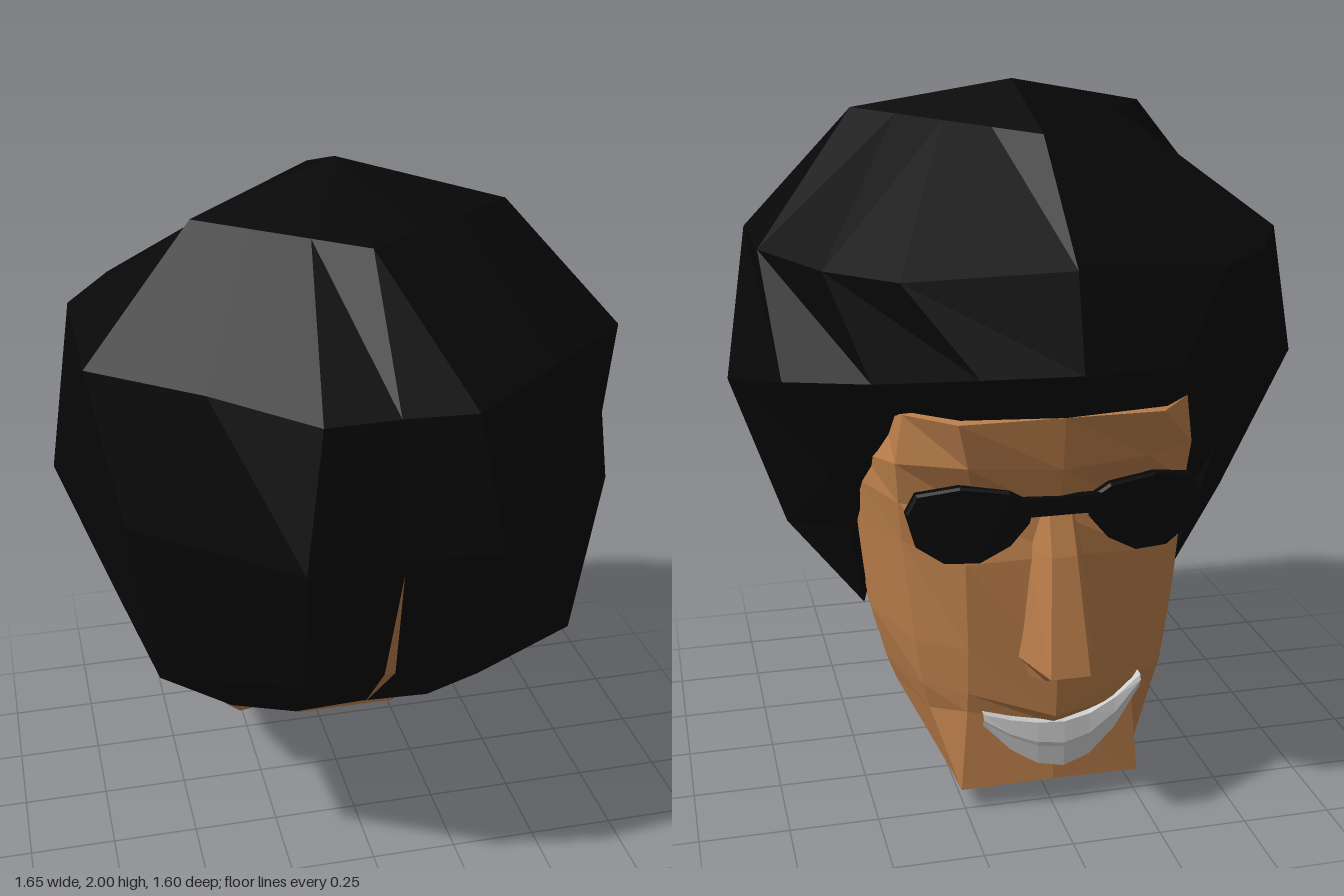
import * as THREE from 'three';

const material = (color) => new THREE.MeshStandardMaterial({ color, flatShading: true, side: THREE.DoubleSide });
const skin = material(0xb97d4a);
const black = material(0x070707);
const white = material(0xcccccc);

// Joins rings of points, listed from top to bottom, into one faceted skin
function loft(name, rings, mat, closed = true) {
  const pos = [];
  const same = (p, q) => p.every((v, k) => Math.abs(v - q[k]) < 1e-6);
  const tri = (a, b, c) => {
    if (!same(a, b) && !same(b, c) && !same(a, c)) pos.push(...a, ...b, ...c);
  };
  for (let i = 0; i < rings.length - 1; i++) {
    const r = rings[i], s = rings[i + 1], n = r.length;
    for (let j = 0; j < (closed ? n : n - 1); j++) {
      const k = (j + 1) % n;
      tri(r[j], r[k], s[j]);
      tri(r[k], s[k], s[j]);
    }
  }
  const geo = new THREE.BufferGeometry();
  geo.setAttribute('position', new THREE.Float32BufferAttribute(pos, 3));
  geo.computeVertexNormals();
  const mesh = new THREE.Mesh(geo, mat);
  mesh.name = name;
  return mesh;
}

// Completes a half ring (face centre, +x side, back centre) with its mirror image
const mirror = (half) => [...half, ...half.slice(1, -1).reverse().map(([x, y, z]) => [-x, y, z])];
const point = (p, n) => Array(n).fill(p);

function makeHair() {
  // four-cornered ring near the crown, its straight sides divided evenly
  const between = (a, b, t) => a.map((v, k) => v + (b[k] - v) * t);
  const front = [0, 1.89, -0.38], side = [0.43, 1.91, 0.17], back = [0, 1.88, 0.42];
  const crown = Array.from({ length: 8 }, (_, j) => (j < 4 ? between(front, side, j / 4) : between(side, back, (j - 4) / 3)));
  // upper ring, widest ring, hairline, and the underside tucked against the head
  const lower = [
    [[0, 1.6, -0.73], [0.43, 1.57, -0.63], [0.6, 1.57, -0.45], [0.74, 1.58, -0.18], [0.74, 1.56, 0.28], [0.46, 1.58, 0.56], [0.2, 1.54, 0.73], [0, 1.54, 0.72]],
    [[0, 1.35, -0.8], [0.26, 1.35, -0.78], [0.5, 1.3, -0.58], [0.71, 1.27, -0.4], [0.825, 1.17, 0.02], [0.67, 1.17, 0.44], [0.26, 1.17, 0.8], [0, 1.17, 0.77]],
    [[0, 1.19, -0.63], [0.28, 1.2, -0.62], [0.44, 1.19, -0.44], [0.57, 0.94, -0.23], [0.675, 0.73, 0], [0.6, 0.68, 0.42], [0.24, 0.75, 0.66], [0, 0.75, 0.63]],
    [[0, 1.19, -0.5], [0.28, 1.19, -0.48], [0.42, 1.15, -0.38], [0.51, 0.74, -0.13], [0.47, 0.5, -0.12], [0.38, 0.46, 0.28], [0.2, 0.45, 0.34], [0, 0.45, 0.33]],
    [[0, 1.19, -0.3], [0.2, 1.15, -0.3], [0.35, 1.1, -0.3], [0.44, 0.74, 0], [0.44, 0.5, 0.04], [0.36, 0.45, 0.1], [0.18, 0.41, 0.13], [0, 0.38, 0.13]],
  ];
  return loft('hair', [point([0, 2, -0.02], 8), crown, ...lower].map(mirror), black);
}

function makeHead() {
  // face centre, front corner, cheek and temple at each level
  const face = [
    [[0, 1.19, -0.63], [0.28, 1.18, -0.6], [0.4, 1.17, -0.44], [0.42, 1.12, -0.25]],
    [[0, 1.04, -0.61], [0.25, 1.05, -0.575], [0.42, 1.03, -0.43], [0.48, 1.0, -0.22]],
    [[0, 0.9, -0.57], [0.22, 0.9, -0.5], [0.41, 0.91, -0.41], [0.49, 0.92, -0.22]],
    [[0, 0.78, -0.57], [0.25, 0.76, -0.53], [0.4, 0.79, -0.39], [0.48, 0.79, -0.21]],
    [[0, 0.45, -0.57], [0.24, 0.5, -0.51], [0.37, 0.5, -0.41], [0.46, 0.52, -0.2]],
    [[0, 0.29, -0.555], [0.24, 0.36, -0.5], [0.35, 0.36, -0.41], [0.42, 0.36, -0.2]],
    [[0, 0.25, -0.52], [0.24, 0.3, -0.49], [0.33, 0.28, -0.4], [0.39, 0.28, -0.2]],
    [[0, 0.08, -0.53], [0.26, 0.06, -0.5], [0.27, 0.07, -0.4], [0.28, 0.1, -0.2]],
  ];
  // jaw corner and nape for the four lowest levels
  const nape = [
    [[0.46, 0.6, 0.02], [0.2, 0.55, 0.16], [0, 0.55, 0.16]],
    [[0.45, 0.5, 0.04], [0.16, 0.42, 0.135], [0, 0.42, 0.135]],
    [[0.43, 0.42, 0.04], [0.15, 0.35, 0.13], [0, 0.35, 0.13]],
    [[0.41, 0.34, 0.04], [0.15, 0.29, 0.12], [0, 0.29, 0.12]],
  ];
  const halves = face.map((front, i) => {
    const [x, y] = front[3];
    const back = i < 4 ? [[x, y, 0], [0.2, y, 0.3], [0, y, 0.3]] : nape[i - 4];
    return [...front, ...back];
  });
  const all = [point([0, 1.22, -0.48], 7), ...halves, point([0, 0, -0.39], 7)];
  return loft('head', all.map(mirror), skin);
}

function makeNose() {
  // each level: height, ridge half width, ridge z, base half width
  const levels = [[0.94, 0.03, -0.57, 0.05], [0.8, 0.035, -0.63, 0.08], [0.48, 0.055, -0.705, 0.11], [0.42, 0.04, -0.59, 0.09]];
  const rings = levels.map(([y, w, z, b]) => [[-b, y, -0.53], [-w, y, z], [w, y, z], [b, y, -0.53]]);
  rings.push(point([0, 0.42, -0.55], 4));
  return loft('nose', rings, skin);
}

function makeSunglasses() {
  const group = new THREE.Group();
  group.name = 'sunglasses';
  const outline = [[0.08, 0.94], [0.14, 0.975], [0.27, 0.99], [0.38, 0.97], [0.405, 0.92], [0.38, 0.83], [0.31, 0.785], [0.22, 0.785], [0.14, 0.83], [0.09, 0.89]];
  for (const side of [1, -1]) {
    const shape = new THREE.Shape(outline.map(([x, y]) => new THREE.Vector2(side * x, y)));
    const geo = new THREE.ExtrudeGeometry(shape, { depth: 0.02, bevelEnabled: true, bevelSize: 0.006, bevelThickness: 0.008, bevelSegments: 1 });
    // sweep the outer edge back around the face
    const p = geo.attributes.position;
    for (let i = 0; i < p.count; i++) p.setZ(i, p.getZ(i) - 0.585 + 0.35 * p.getX(i) ** 2);
    const lens = new THREE.Mesh(geo, black);
    lens.name = side > 0 ? 'leftLens' : 'rightLens';
    group.add(lens);
  }
  const bridge = new THREE.Mesh(new THREE.BoxGeometry(0.22, 0.05, 0.03), black);
  bridge.name = 'bridge';
  bridge.position.set(0, 0.935, -0.585);
  group.add(bridge);
  return group;
}

// Lopsided grin: a curved band set under the lip
function makeTeeth() {
  // each row: drop from the upper edge, distance in front of the jaw
  const rows = [[-0.05, -0.02], [0, 0.006], [0.45, 0.012], [0.55, 0.009], [1, 0.003], [1.05, -0.02]];
  return loft('teeth', rows.map(([t, out]) => Array.from({ length: 7 }, (_, i) => {
    const u = i / 6, x = -0.26 + 0.46 * u;
    const bow = (2 * u - 1) ** 2;
    const corner = u < 0.5 ? 0.37 : 0.3;
    const top = 0.26 + (corner - 0.26) * bow;
    const height = 0.14 * (1 - 0.75 * bow);
    return [x, top - height * t, -0.533 + 0.1 * Math.abs(x) - out];
  })), white, false);
}

// Narrow strip of scalp showing in the crease at the back of the hair
function makeParting() {
  const rows = [[1.13, 0, 0.765], [0.75, 0.015, 0.638], [0.48, 0, 0.37]];
  return loft('parting', rows.map(([y, w, z]) => [[w, y, z + 0.01], [-w, y, z + 0.01]]), skin, false);
}

export function createModel() {
  const model = new THREE.Group();
  model.name = 'headWithRoundHair';
  model.add(makeHair(), makeHead(), makeNose(), makeSunglasses(), makeTeeth(), makeParting());
  return model;
}
